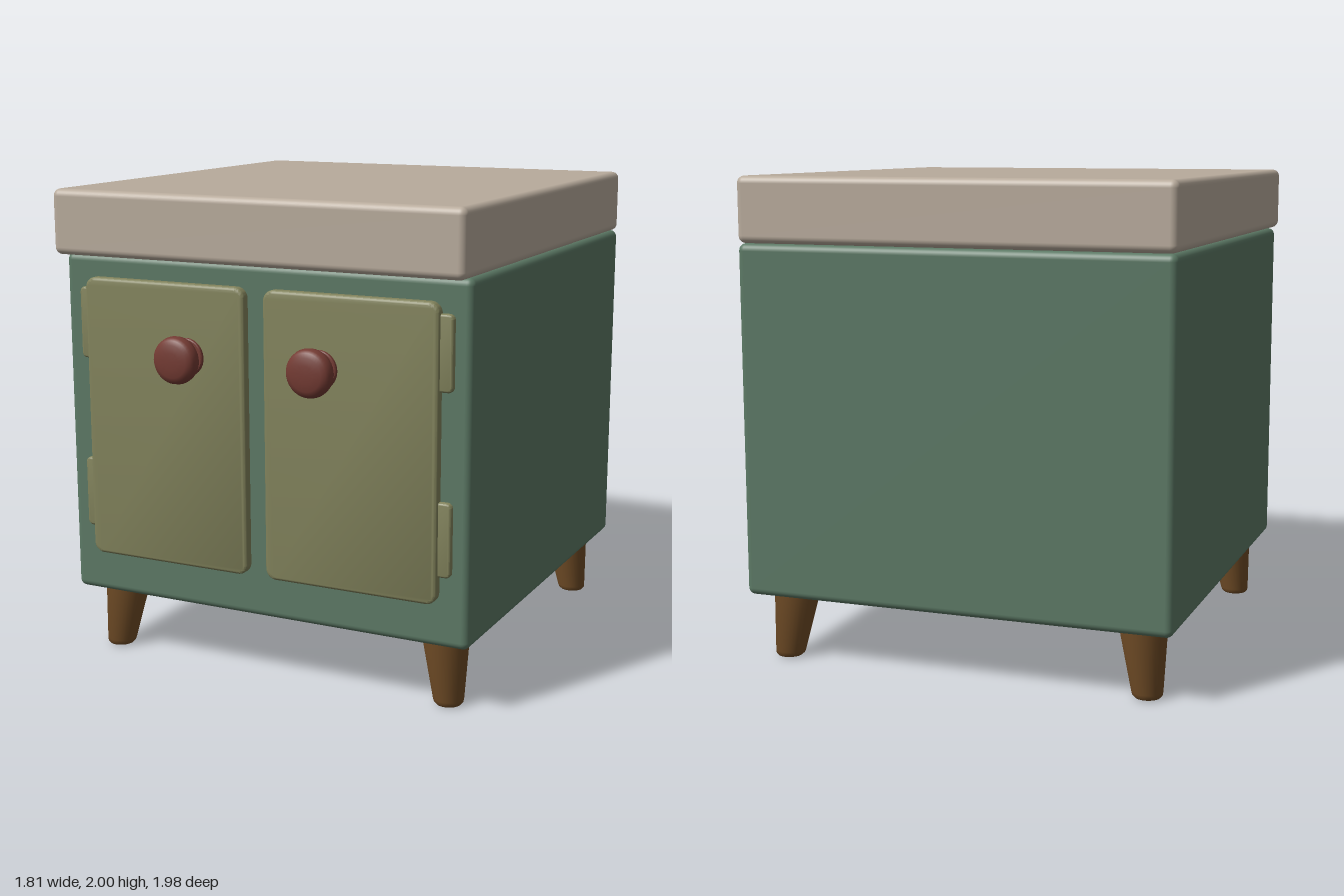
import * as THREE from 'three';
import { RoundedBoxGeometry } from 'three/addons/geometries/RoundedBoxGeometry.js';
import { toCreasedNormals } from 'three/addons/utils/BufferGeometryUtils.js';

const paint = (color) => new THREE.MeshStandardMaterial({ color });
const green = paint(0x5c7965);
const beige = paint(0xb8ab9c);
const olive = paint(0x82835c);
const red = paint(0x743b33);
const wood = paint(0x704c26);

const CENTER_Z = -0.079; // middle of the cabinet body

function add(parent, name, geometry, material, x = 0, y = 0, z = 0) {
  const mesh = new THREE.Mesh(geometry, material);
  mesh.name = name;
  mesh.position.set(x, y, z);
  parent.add(mesh);
  return mesh;
}

// Plate with rounded corners and a softened front rim; its front lies at z = 0
function plate(w, h, depth, corner, bevel) {
  const x = w / 2 - bevel, y = h / 2 - bevel, r = corner - bevel;
  const s = new THREE.Shape();
  s.absarc(x - r, y - r, r, 0, Math.PI / 2);
  s.absarc(-x + r, y - r, r, Math.PI / 2, Math.PI);
  s.absarc(-x + r, -y + r, r, Math.PI, Math.PI * 1.5);
  s.absarc(x - r, -y + r, r, Math.PI * 1.5, Math.PI * 2);
  const geometry = new THREE.ExtrudeGeometry(s, {
    depth: depth - 2 * bevel, bevelSize: bevel, bevelThickness: bevel, bevelSegments: 4, curveSegments: 6,
  });
  geometry.translate(0, 0, bevel - depth);
  return toCreasedNormals(geometry, 0.7);
}

function turned(points, segments = 32) {
  const profile = points.map(([r, y]) => new THREE.Vector2(r, y));
  return toCreasedNormals(new THREE.LatheGeometry(profile, segments), 0.75);
}

export function createModel() {
  const group = new THREE.Group();

  // Cabinet body and overhanging top
  add(group, 'body', new RoundedBoxGeometry(1.812, 1.45, 1.812, 4, 0.03), green, 0, 1.007, CENTER_Z);
  add(group, 'top', new RoundedBoxGeometry(1.812, 0.268, 1.9, 4, 0.03), beige, 0, 1.866, -0.036);

  // Doors with their hinges and knobs
  const doorShape = plate(0.745, 1.178, 0.06, 0.045, 0.014);
  const hingeShape = plate(0.1, 0.298, 0.045, 0.022, 0.01);
  const knobShape = turned([
    [0, 0], [0.078, 0], [0.078, 0.012], [0.074, 0.016], [0.037, 0.016], [0.037, 0.048],
    [0.072, 0.048], [0.086, 0.052], [0.094, 0.063], [0.097, 0.08], [0.093, 0.1],
    [0.084, 0.113], [0.066, 0.12], [0.035, 0.124], [0, 0.125],
  ], 40).rotateX(Math.PI / 2);
  for (const side of [-1, 1]) {
    const name = side > 0 ? 'left' : 'right';
    add(group, name + 'Door', doorShape, olive, side * 0.415 - 0.002, 1.052, 0.866);
    for (const [place, y] of [['Upper', 1.448], ['Lower', 0.723]]) {
      add(group, name + place + 'Hinge', hingeShape, olive, side * 0.783 + 0.005, y, 0.849);
    }
    add(group, name + 'Knob', knobShape, red, side * 0.298 - 0.008, 1.347, 0.865);
  }

  // Tapered legs, sheared outwards towards the corners
  const legProfile = [
    [0, 0], [0.04, 0], [0.052, 0.004], [0.06, 0.013], [0.063, 0.026], [0.096, 0.275], [0.097, 0.3], [0, 0.3],
  ];
  for (const sx of [-1, 1]) {
    for (const sz of [-1, 1]) {
      const leg = turned(legProfile);
      const p = leg.attributes.position;
      for (let i = 0; i < p.count; i++) {
        const lean = 0.1 * (0.28 - p.getY(i));
        p.setX(i, p.getX(i) + sx * lean);
        p.setZ(i, p.getZ(i) + sz * lean);
      }
      const name = (sz > 0 ? 'front' : 'back') + (sx > 0 ? 'Left' : 'Right') + 'Leg';
      add(group, name, leg, wood, sx * 0.751, 0, CENTER_Z + sz * 0.749);
    }
  }
  return group;
}
